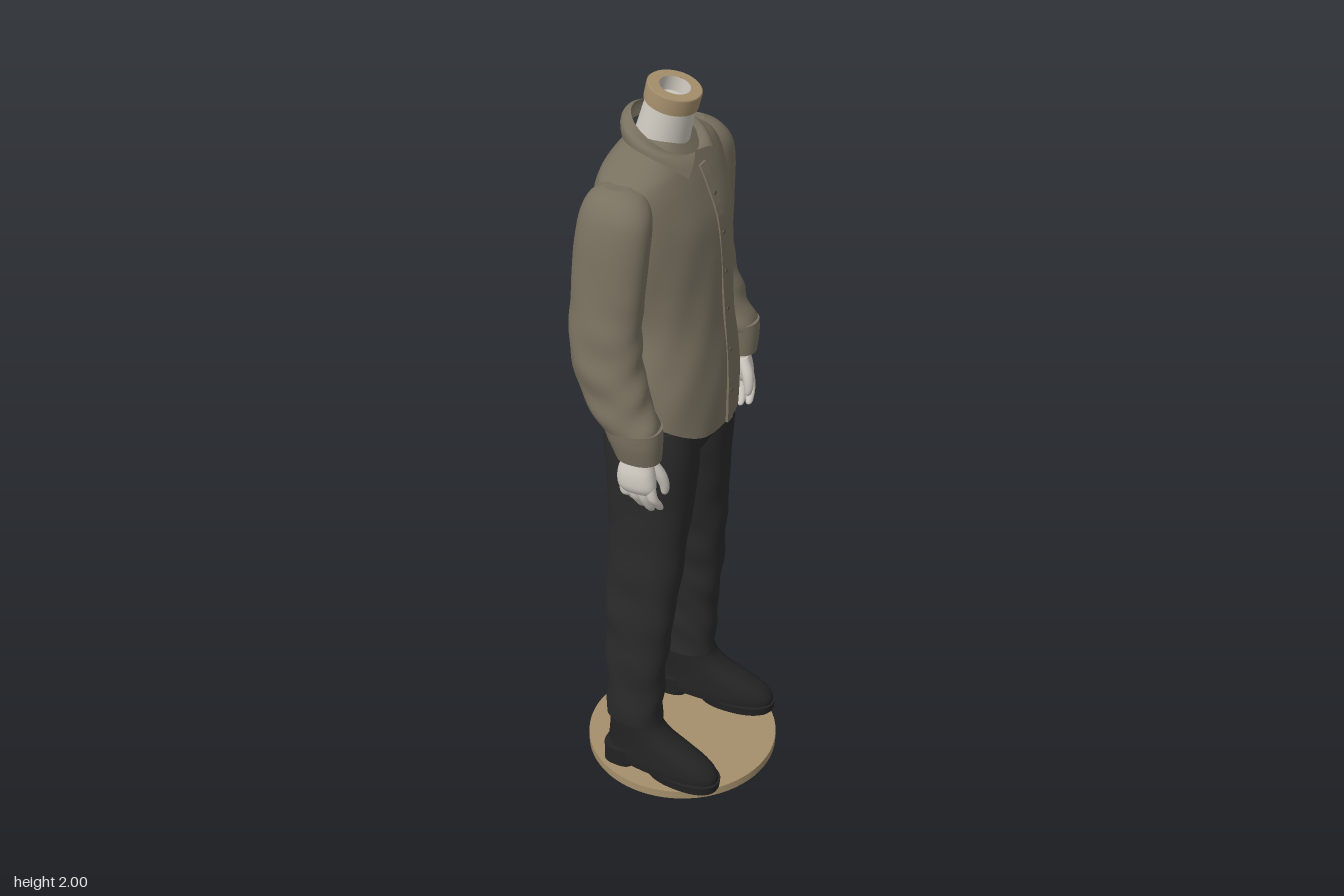
import * as THREE from 'three';

const mat = (name, color, side = THREE.FrontSide) => {
  const m = new THREE.MeshStandardMaterial({ color, side });
  m.name = name;
  return m;
};

// Cubic interpolation through rows of numbers
function sample(rows, t) {
  const n = rows.length - 1;
  const i = Math.min(Math.floor(t * n), n - 1), f = t * n - i;
  const p = k => rows[Math.max(0, Math.min(n, k))];
  return rows[i].map((_, c) => {
    const a = p(i - 1)[c], b = p(i)[c], d = p(i + 1)[c], e = p(i + 2)[c];
    return b + 0.5 * f * (d - a + f * (2 * a - 5 * b + 4 * d - e + f * (3 * (b - d) + e - a)));
  });
}

// Loft from rows listed top to bottom: [y, xMin, xMax, zMin, zMax]; s = -1 mirrors in z
function loft(rows, { s = 1, steps = 24, seg = 36, pow = 2, fold = () => 0, warp, caps = true } = {}) {
  const pos = [], idx = [];
  const tri = (a, b, c) => (s > 0 ? idx.push(a, b, c) : idx.push(a, c, b));
  const put = (x, y, z) => {
    const v = new THREE.Vector3(x, y, z);
    if (warp) warp(v);
    pos.push(v.x, v.y, v.z * s);
    return pos.length / 3 - 1;
  };
  const ring = t => {
    const [y, x0, x1, z0, z1] = sample(rows, t);
    const first = pos.length / 3;
    for (let j = 0; j < seg; j++) {
      const a = (j / seg) * Math.PI * 2, c = Math.cos(a), d = Math.sin(a), k = fold(y, a);
      const e = v => Math.sign(v) * Math.abs(v) ** (2 / pow);
      put((x0 + x1) / 2 + e(c) * (x1 - x0) / 2 + c * k, y, (z0 + z1) / 2 + e(d) * (z1 - z0) / 2 + d * k);
    }
    return first;
  };
  for (let i = 0; i <= steps; i++) {
    const b = ring(i / steps), a = b - seg;
    for (let j = 0; i > 0 && j < seg; j++) {
      const k = (j + 1) % seg;
      tri(a + j, a + k, b + j);
      tri(a + k, b + k, b + j);
    }
  }
  for (const t of caps ? [0, 1] : []) {
    const r = ring(t), [y, x0, x1, z0, z1] = sample(rows, t);
    const m = put((x0 + x1) / 2, y, (z0 + z1) / 2);
    for (let j = 0; j < seg; j++) {
      const k = (j + 1) % seg;
      if (t === 0) tri(m, r + k, r + j); else tri(m, r + j, r + k);
    }
  }
  const g = new THREE.BufferGeometry();
  g.setAttribute('position', new THREE.Float32BufferAttribute(pos, 3));
  g.setIndex(idx);
  g.computeVertexNormals();
  return g;
}

// Shirt collar: a sheet from the neck edge down to two pointed wings
function collarGeometry() {
  const g = new THREE.PlaneGeometry(1, 1, 48, 6), p = g.attributes.position;
  for (let i = 0; i < p.count; i++) {
    const u = p.getX(i) * 2, v = 0.5 - p.getY(i), a = u * 3.08, b = u * 2.4, w = u ** 4;
    const top = new THREE.Vector3(-0.045 - 0.08 * Math.cos(a), 1.872 + 0.045 * Math.cos(a), 0.078 * Math.sin(a));
    const low = new THREE.Vector3(-0.045 - 0.1 * Math.cos(b) + 0.024 * w, 1.862 - 0.07 * w, 0.112 * Math.sin(b));
    top.lerp(low, v);
    const puff = 0.012 * Math.sin(Math.PI * v);
    p.setXYZ(i, top.x - puff * Math.cos(b), top.y + puff, top.z + puff * Math.sin(b));
  }
  g.computeVertexNormals();
  return g;
}

export function createModel() {
  const model = new THREE.Group();
  const shirt = mat('olive shirt', 0x797160, THREE.DoubleSide);
  const button = mat('dark button', 0x5a5444);
  const trouser = mat('black trousers', 0x2a2a2b);
  const leather = mat('black leather', 0x232324);
  const skin = mat('pale skin', 0xcfcac0);
  const wood = mat('tan wood', 0xa58f6c);
  const add = (name, geo, material, parent = model) => {
    const m = new THREE.Mesh(geo, material);
    m.name = name;
    parent.add(m);
    return m;
  };

  // Round stand
  add('base', new THREE.CylinderGeometry(0.259, 0.259, 0.024, 72).translate(0, 0.012, 0), wood);

  // Neck tilted forward, with a hollow ring on top
  const neck = new THREE.Group();
  neck.name = 'neckGroup';
  neck.position.set(-0.019, 1.984, 0);
  neck.rotation.z = -0.245;
  model.add(neck);
  const V = (x, y) => new THREE.Vector2(x, y);
  add('neck', new THREE.CylinderGeometry(0.06, 0.07, 0.16, 40).translate(0, -0.12, 0), skin, neck);
  const ringPoints = [V(0.038, -0.042), V(0.066, -0.042), V(0.066, -0.042), V(0.067, -0.003), V(0.064, 0), V(0.064, 0), V(0.038, 0)];
  add('neckRing', new THREE.LatheGeometry(ringPoints, 48), wood, neck);
  add('neckHole', new THREE.LatheGeometry([V(0.038, 0), V(0.038, -0.038), V(0.038, -0.038), V(0, -0.038)].reverse(), 40),
    mat('pale lining', 0xcfcac0, THREE.DoubleSide), neck);

  // Shirt body with a curved hem
  const torso = [
    [1.87, -0.11, 0.0, 0.06], [1.845, -0.137, 0.015, 0.11], [1.82, -0.157, 0.03, 0.16], [1.795, -0.17, 0.042, 0.205],
    [1.75, -0.183, 0.062, 0.222], [1.67, -0.193, 0.09, 0.212], [1.58, -0.195, 0.101, 0.2], [1.49, -0.192, 0.106, 0.184],
    [1.4, -0.19, 0.112, 0.175], [1.3, -0.196, 0.12, 0.186], [1.2, -0.2, 0.124, 0.199], [1.09, -0.192, 0.123, 0.203],
  ].map(([y, a, b, z]) => [y, a, b, -z, z]);
  add('shirtBody', loft(torso, {
    steps: 60, seg: 72, pow: 2.3, caps: false,
    fold: (y, a) => 0.003 * Math.sin(a * 7 + y * 9) * Math.sin(y * 13 + a * 2) * Math.min(1, Math.max(0, (1.8 - y) * 4)),
    warp: v => { v.y += 0.07 * Math.min(1, Math.abs(v.z) / 0.2) ** 3 * THREE.MathUtils.clamp((1.35 - v.y) / 0.26, 0, 1); },
  }), shirt);
  add('collar', collarGeometry(), shirt);

  // Front placket and buttons follow the chest line
  const front = [];
  for (let i = 0; i <= 24; i++) front.push(sample(torso, 0.28 + 0.72 * i / 24));
  const strip = new THREE.Shape([...front.map(r => V(r[2] + 0.005, r[0])), ...front.reverse().map(r => V(r[2] - 0.006, r[0]))]);
  add('placket', new THREE.ExtrudeGeometry(strip, { depth: 0.03, bevelEnabled: false }).translate(0, 0, -0.027), shirt);
  for (let i = 0; i < 6; i++) {
    const r = sample(torso, 0.4 + i * 0.105);
    add('button', new THREE.CylinderGeometry(0.005, 0.005, 0.003, 12).rotateZ(-Math.PI / 2).translate(r[2] + 0.006, r[0], -0.012), button);
  }

  // Trouser seat
  add('trouserSeat', loft([
    [1.2, -0.155, 0.09, -0.18, 0.18], [1.12, -0.16, 0.09, -0.2, 0.2], [1.06, -0.157, 0.088, -0.2, 0.2], [1.015, -0.13, 0.07, -0.17, 0.17],
  ], { pow: 2.5, steps: 12, seg: 48 }), trouser);

  for (const s of [1, -1]) {
    const side = new THREE.Group();
    side.name = s > 0 ? 'sideTowardPlusZ' : 'sideTowardMinusZ';
    model.add(side);

    // Sleeve and cuff
    add('sleeve', loft([
      [1.805, -0.1, -0.04, 0.17, 0.222], [1.785, -0.135, 0.0, 0.155, 0.254], [1.74, -0.152, 0.025, 0.16, 0.28], [1.66, -0.162, 0.025, 0.175, 0.294],
      [1.56, -0.166, 0.018, 0.185, 0.304], [1.47, -0.168, 0.012, 0.19, 0.316], [1.38, -0.163, 0.017, 0.197, 0.327],
      [1.29, -0.13, 0.04, 0.208, 0.333], [1.215, -0.083, 0.07, 0.222, 0.334], [1.17, -0.058, 0.074, 0.23, 0.328],
    ], {
      s, steps: 60, seg: 40, pow: 2.2,
      fold: (y, a) => 0.005 * Math.sin(y * 60 + 2.5 * Math.sin(a + y * 5)) * Math.sin(a * 2 + y * 8) * THREE.MathUtils.clamp((1.6 - y) * 3, 0.1, 1),
    }), shirt, side);
    add('cuff', loft([
      [1.215, -0.072, 0.078, 0.224, 0.334], [1.175, -0.056, 0.079, 0.229, 0.331], [1.125, -0.038, 0.075, 0.235, 0.32],
    ], { s, steps: 10, pow: 2.3 }), shirt, side);

    // Hand with four fingers and a thumb
    add('palm', loft([
      [1.16, -0.01, 0.05, 0.25, 0.3], [1.12, -0.024, 0.055, 0.25, 0.305], [1.085, -0.034, 0.062, 0.252, 0.313],
      [1.05, -0.034, 0.066, 0.257, 0.313], [1.03, -0.026, 0.06, 0.266, 0.303],
    ], { s, pow: 2.4 }), skin, side);
    const digit = (name, path) => add(name, loft(
      path.map(([x, y, z, r]) => [y, x - r, x + r, z - r, z + r]), { s, steps: 14, seg: 14 }), skin, side);
    [0.983, 0.968, 0.96, 0.97].forEach((tip, i) => {
      const x = -0.02 + i * 0.024;
      digit('finger', [[x, 1.06, 0.287, 0.013], [x + 0.006, 1.02, 0.287, 0.0135], [x + 0.012, tip + 0.025, 0.273, 0.012],
        [x + 0.014, tip + 0.006, 0.262, 0.009], [x + 0.014, tip, 0.259, 0.002]]);
    });
    digit('thumb', [[0.045, 1.11, 0.263, 0.014], [0.062, 1.075, 0.254, 0.016], [0.071, 1.04, 0.247, 0.013],
      [0.071, 1.015, 0.244, 0.009], [0.07, 1.008, 0.243, 0.002]]);

    // Trouser leg
    add('trouserLeg', loft([
      [1.13, -0.15, 0.085, 0.005, 0.195], [1.05, -0.157, 0.088, 0.002, 0.203], [0.97, -0.152, 0.084, 0.004, 0.203], [0.88, -0.146, 0.077, 0.022, 0.2],
      [0.78, -0.142, 0.068, 0.043, 0.201], [0.66, -0.144, 0.058, 0.069, 0.207], [0.54, -0.146, 0.045, 0.087, 0.214],
      [0.42, -0.141, 0.031, 0.099, 0.219], [0.3, -0.138, 0.02, 0.108, 0.221], [0.185, -0.137, 0.016, 0.11, 0.22],
    ], {
      s, steps: 72, seg: 44, pow: 2.3,
      fold: (y, a) => 0.004 * Math.sin(y * 42 + 2.5 * Math.sin(a + y * 4)) * Math.sin(a * 2 + y * 7) * THREE.MathUtils.clamp((1 - y) * 2, 0.1, 1),
    }), trouser, side);

    // Boot: upper, front sole and heel block, toes turned slightly out
    const warp = v => { v.z += 0.06 * v.x; };
    const foot = rows => rows.map(([y, a, b, w]) => [y, a, b, 0.169 - w, 0.169 + w]);
    add('bootUpper', loft(foot([
      [0.23, -0.122, 0.005, 0.045], [0.2, -0.128, 0.012, 0.048], [0.17, -0.132, 0.025, 0.049], [0.14, -0.135, 0.062, 0.05],
      [0.115, -0.138, 0.118, 0.052], [0.09, -0.14, 0.168, 0.055], [0.065, -0.142, 0.19, 0.058], [0.043, -0.14, 0.19, 0.057],
    ]), { s, warp, pow: 2.3, steps: 30 }), leather, side);
    add('bootSole', loft(foot([[0.048, -0.03, 0.196, 0.061], [0.024, -0.02, 0.193, 0.059]]), { s, warp, pow: 2.3, steps: 2 }), leather, side);
    add('bootHeel', loft(foot([[0.08, -0.146, -0.045, 0.054], [0.024, -0.147, -0.052, 0.052]]), { s, warp, pow: 3, steps: 2 }), leather, side);
  }
  return model;
}
